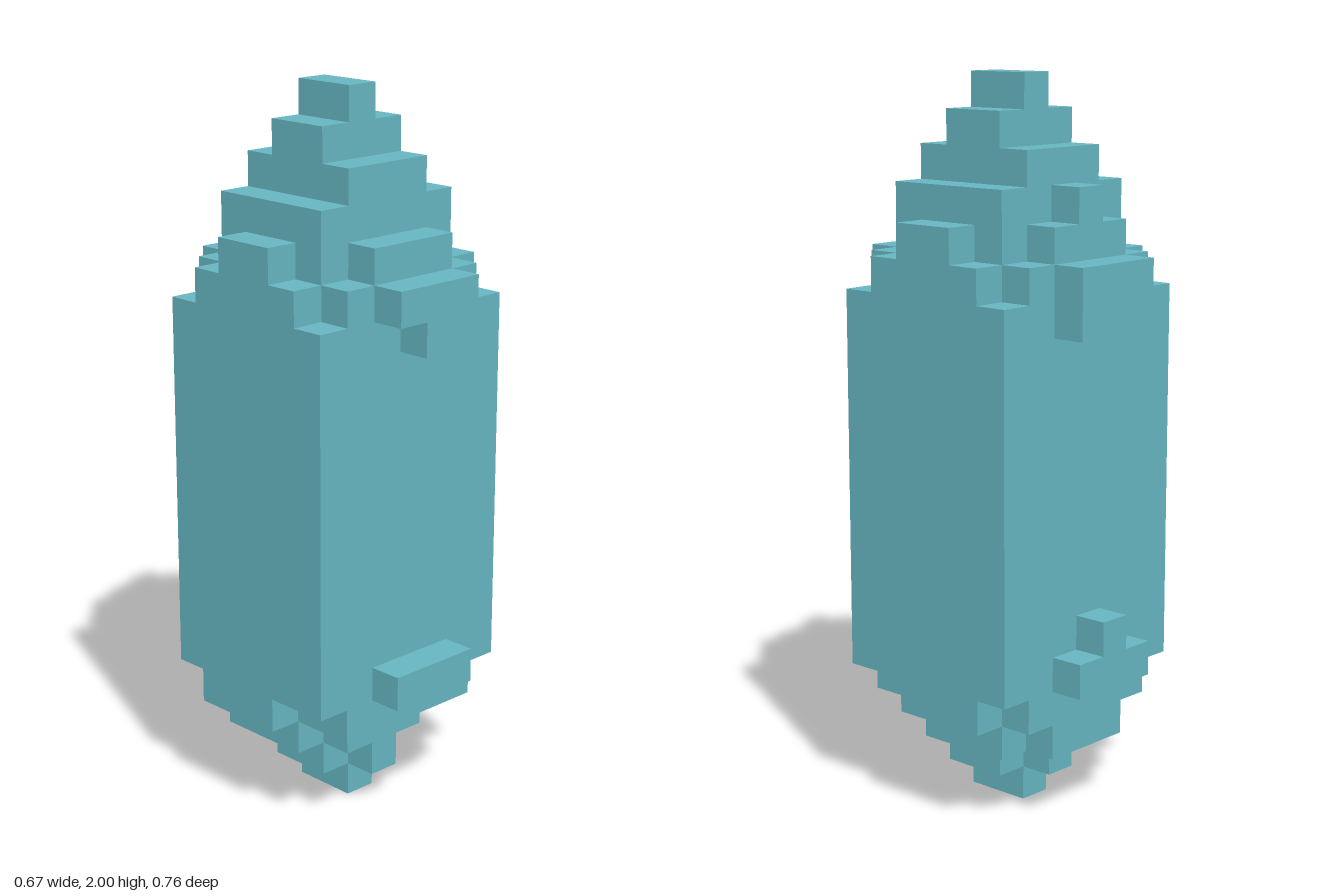
import * as THREE from 'three';
import { mergeGeometries } from 'three/addons/utils/BufferGeometryUtils.js';

const U = 2 / 21; // size of one cube of the blocky grid

// Box in grid units: symmetric in x, spanning y0..y1 and z0..z1
function block([halfX, y0, y1, z0, z1]) {
  const g = new THREE.BoxGeometry(2 * halfX * U, (y1 - y0) * U, (z1 - z0) * U);
  g.translate(0, (y0 + y1) / 2 * U, (z0 + z1) / 2 * U);
  return g;
}

export function createModel() {
  const group = new THREE.Group();
  const teal = new THREE.MeshStandardMaterial({ color: 0x66b5c0 });
  teal.name = 'teal';

  const parts = {
    // stepped point at the bottom, leaning one cube to the back
    lowerTip: [
      [0.5, 0, 1, -1, 1],
      [0.5, 1, 2, -2, -1], [1.5, 1, 2, -1, 1], [0.5, 1, 2, 1, 2],
      [1.5, 2, 3, -3, -2], [2.5, 2, 3, -2, 1], [1.5, 2, 3, 1, 2],
      [2.5, 3, 4, -3, -2], [3.5, 3, 4, -2, 1], [2.5, 3, 4, 1, 3],
    ],
    // plain rectangular middle
    shaft: [[3.5, 4, 15, -3, 3]],
    // stepped point at the top
    upperTip: [
      [2.5, 15, 16, -3, -2], [3.5, 15, 16, -2, 2], [2.5, 15, 16, 2, 3],
      [1.5, 16, 17, -3, -2], [2.5, 16, 17, -2, -1], [3.5, 16, 17, -1, 1],
      [2.5, 16, 17, 1, 2], [1.5, 16, 17, 2, 3],
      [0.5, 17, 18, -3, -2], [2.5, 17, 18, -2, 2],
      [1.5, 18, 19, -2, 2],
      [1.5, 19, 20, -1, 1],
      [0.5, 20, 21, -1, 1],
    ],
    // raised ledges on the front and back faces
    frontUpperLedge: [[0.5, 14, 15, 3, 4], [1.5, 15, 16, 3, 4]],
    frontLowerLedge: [[1.5, 4, 5, 3, 4]],
    backUpperLedge: [[1.5, 14, 16, -4, -3]],
    backLowerLedge: [[1.5, 4, 5, -4, -3], [0.5, 5, 6, -4, -3]],
  };

  for (const [name, blocks] of Object.entries(parts)) {
    const mesh = new THREE.Mesh(mergeGeometries(blocks.map(block)), teal);
    mesh.name = name;
    group.add(mesh);
  }
  return group;
}
